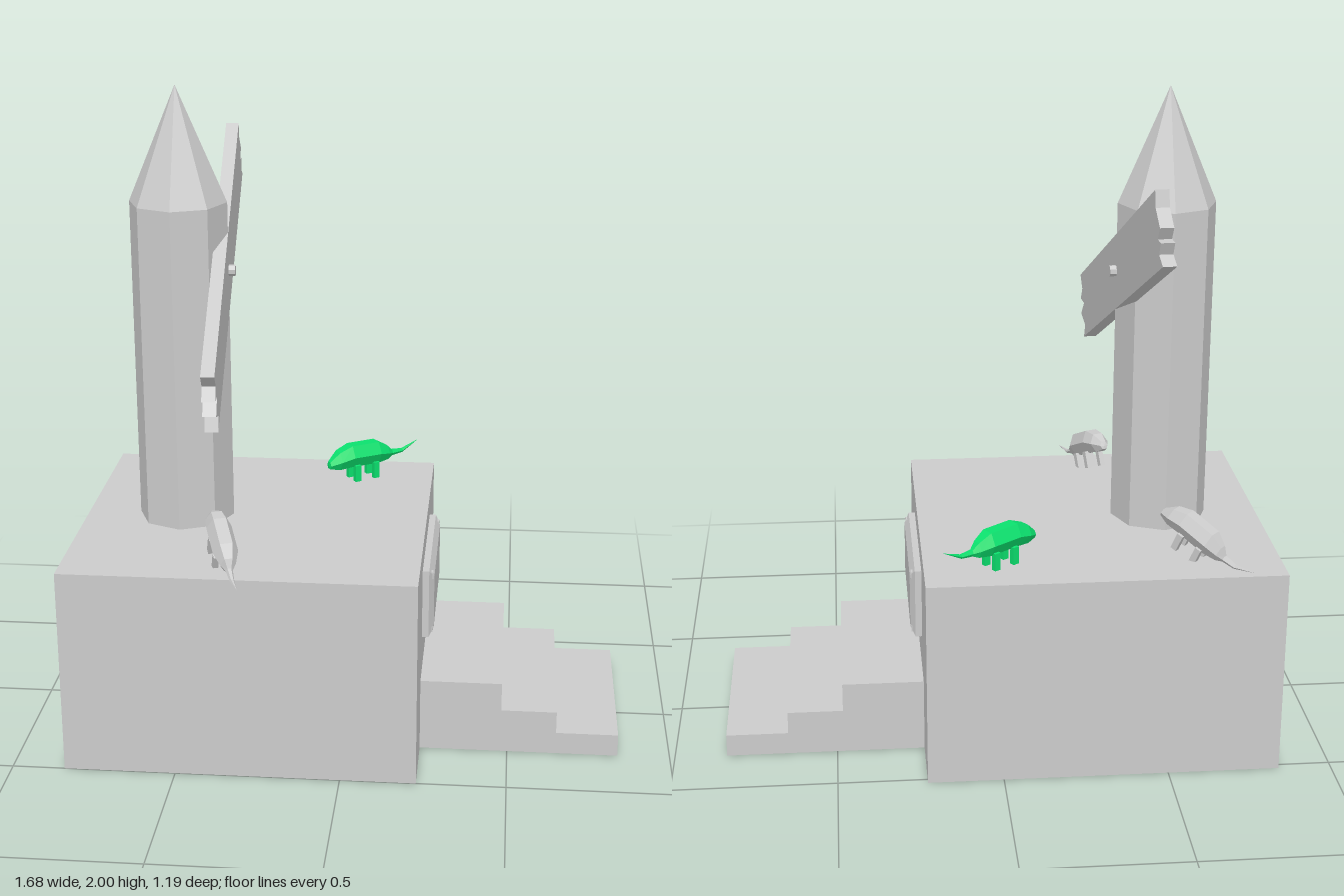
import * as THREE from 'three';

const grey = new THREE.MeshStandardMaterial({ color: 0xcccccc, flatShading: true });
const green = new THREE.MeshStandardMaterial({ color: 0x0be06e, flatShading: true });

function add(parent, name, geometry, material = grey) {
  const mesh = new THREE.Mesh(geometry, material);
  mesh.name = name;
  parent.add(mesh);
  return mesh;
}

// Box given by its minimum and maximum corners
function block(parent, name, [x0, y0, z0], [x1, y1, z1], material) {
  const mesh = add(parent, name, new THREE.BoxGeometry(x1 - x0, y1 - y0, z1 - z0), material);
  mesh.position.set((x0 + x1) / 2, (y0 + y1) / 2, (z0 + z1) / 2);
  return mesh;
}

// Six-sided body lofted through rings of [x, y, half width, half height], head to tail
function loft(rings) {
  const sides = 6, pos = [], index = [];
  for (const [x, y, w, h] of rings) {
    for (let j = 0; j < sides; j++) {
      const a = (j / sides) * Math.PI * 2;
      pos.push(x, y + h * Math.sin(a), w * Math.cos(a));
    }
  }
  for (let i = 0; i < rings.length - 1; i++) {
    for (let j = 0; j < sides; j++) {
      const a = i * sides + j, b = i * sides + (j + 1) % sides;
      index.push(a, b, a + sides, b, b + sides, a + sides);
    }
  }
  const geo = new THREE.BufferGeometry();
  geo.setAttribute('position', new THREE.Float32BufferAttribute(pos, 3));
  geo.setIndex(index);
  geo.computeVertexNormals();
  return geo;
}

// Small rodent, head toward local +x
function rodent(name, material, x, y, z, dx, dz, pitch) {
  const g = new THREE.Group();
  g.name = name;
  add(g, 'bodyAndTail', loft([
    [0.13, 0.062, 0, 0],
    [0.128, 0.064, 0.014, 0.014],
    [0.095, 0.076, 0.032, 0.034],
    [0.05, 0.086, 0.038, 0.042],
    [-0.05, 0.083, 0.038, 0.042],
    [-0.09, 0.073, 0.024, 0.027],
    [-0.11, 0.067, 0.011, 0.011],
    [-0.15, 0.067, 0.007, 0.007],
    [-0.215, 0.095, 0, 0],
  ]), material);
  for (const s of [-0.035, 0.035]) {
    for (const side of [-1, 1]) {
      block(g, 'leg', [s - 0.01, 0, side * 0.024 - 0.008], [s + 0.01, 0.055, side * 0.024 + 0.008], material);
    }
  }
  g.position.set(x, y, z);
  g.rotation.set(0, Math.atan2(-dz, dx), pitch);
  return g;
}

export function createModel() {
  const model = new THREE.Group();
  model.name = 'monument';

  // Plinth and stairs
  block(model, 'plinth', [-0.84, 0, -0.52], [0.23, 0.645, 0.5]);
  const stairs = new THREE.Shape([
    [0.23, 0], [0.84, 0], [0.84, 0.07], [0.65, 0.07], [0.65, 0.14],
    [0.48, 0.14], [0.48, 0.23], [0.23, 0.23],
  ].map(([x, y]) => new THREE.Vector2(x, y)));
  add(model, 'stairs', new THREE.ExtrudeGeometry(stairs, { depth: 0.59, bevelEnabled: false }))
    .position.z = -0.31;

  // Bevelled plaque with corner studs
  const plate = new THREE.Shape([
    [-0.23, -0.11], [0.23, -0.11], [0.23, 0.11], [-0.23, 0.11],
  ].map(([x, y]) => new THREE.Vector2(x, y)));
  const plaque = add(model, 'plaque', new THREE.ExtrudeGeometry(plate, {
    depth: 0.025, bevelThickness: 0.015, bevelSize: 0.025, bevelOffset: -0.025, bevelSegments: 1,
  }));
  plaque.position.set(0.225, 0.46, -0.01);
  plaque.rotation.y = Math.PI / 2;
  for (const y of [0.37, 0.55]) {
    for (const z of [-0.215, 0.195]) {
      block(model, 'plaqueStud', [0.24, y - 0.01, z - 0.01], [0.262, y + 0.01, z + 0.01]);
    }
  }

  // Eight-sided pillar with pointed top
  add(model, 'pillar', new THREE.CylinderGeometry(0.149, 0.149, 1.01, 8)).position.set(-0.53, 1.145, -0.013);
  add(model, 'pillarPoint', new THREE.ConeGeometry(0.149, 0.35, 8)).position.set(-0.53, 1.825, -0.013);

  // Tilted plank with splintered ends, pinned to the pillar
  const board = new THREE.Group();
  board.name = 'crossboard';
  const outline = new THREE.Shape([
    [0.608, -0.114], [0.575, -0.073], [0.606, -0.048], [0.573, -0.03], [0.609, -0.007],
    [0.577, 0.057], [0.589, 0.105],
    [-0.559, 0.1], [-0.546, 0.05], [-0.584, 0.025], [-0.536, 0], [-0.594, -0.024],
    [-0.543, -0.072], [-0.577, -0.105],
  ].map(([x, y]) => new THREE.Vector2(x, y)));
  add(board, 'plank', new THREE.ExtrudeGeometry(outline, { depth: 0.04, bevelEnabled: false }))
    .position.z = -0.02;
  const nail = add(board, 'nail', new THREE.CylinderGeometry(0.017, 0.017, 0.08, 8));
  nail.rotation.x = Math.PI / 2;
  board.position.set(-0.4, 1.44, -0.01);
  board.rotation.set(0, Math.PI / 2 + 0.066, 0.471);
  model.add(board);

  // Rodents: one level, two rearing up
  model.add(
    rodent('greenRodent', green, 0, 0.645, -0.37, -0.82, 0.57, 0),
    rodent('backRodent', grey, -0.567, 0.652, -0.35, 0.735, 0.68, 0.42),
    rodent('frontRodent', grey, -0.367, 0.652, 0.365, -0.35, -0.94, 0.42),
  );
  return model;
}
